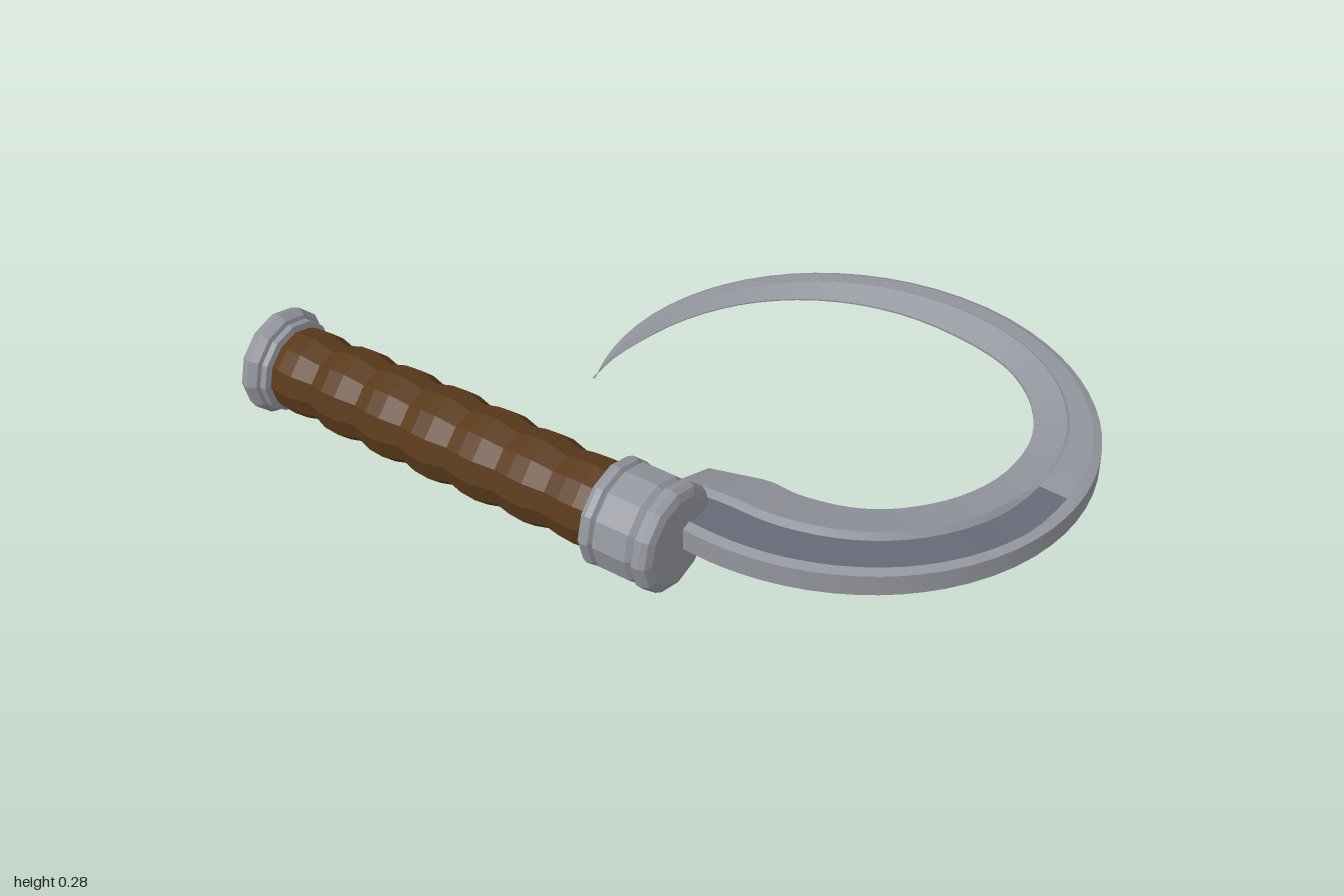
import * as THREE from 'three';
import { toCreasedNormals } from 'three/addons/utils/BufferGeometryUtils.js';

const steel = new THREE.MeshStandardMaterial({ color: 0x92959c });
steel.name = 'steel';
const darkSteel = new THREE.MeshStandardMaterial({ color: 0x666876 });
darkSteel.name = 'dark steel';
const leather = new THREE.MeshStandardMaterial({ color: 0x5a3a1b });
leather.name = 'leather';

const AXIS_Y = 0.143, AXIS_Z = 0.52;

// Faceted turned part along the handle axis; profile is [x, radius] pairs
function turned(name, profile, material) {
  const points = profile.map(([x, r]) => new THREE.Vector2(r, x));
  const geometry = new THREE.LatheGeometry(points, 12).rotateZ(-Math.PI / 2).toNonIndexed();
  geometry.computeVertexNormals();
  const mesh = new THREE.Mesh(geometry, material);
  mesh.name = name;
  mesh.position.set(0, AXIS_Y, AXIS_Z);
  return mesh;
}

// Leather grip: seven swellings, slightly fuller in the middle
function gripProfile() {
  const profile = [[-0.9, 0.1]];
  for (let i = 0; i < 7; i++) {
    const x = -0.835 + i * 0.145;
    const r = 0.121 - 0.0008 * (i - 3) ** 2;
    profile.push([x - 0.03, r - 0.004], [x + 0.015, r - 0.001]);
    if (i < 6) profile.push([x + 0.072, r - 0.015]);
  }
  profile.push([0.1, 0.1]);
  return profile;
}

// Inner edge of the hook: x, angle of the matching outer point, z
const INNER = [
  [0.195, 105, 0.27], [0.27, 100, 0.248], [0.345, 92, 0.228], [0.43, 77, 0.23],
  [0.55, 57, 0.2], [0.65, 38, 0.135], [0.74, 15, 0.02], [0.785, -6, -0.12],
  [0.77, -28, -0.28], [0.68, -49, -0.42], [0.53, -70, -0.51], [0.29, -97, -0.54],
  [0.08, -121, -0.49], [-0.09, -144, -0.37], [-0.2, -166, -0.2],
  [-0.25, -188, 0], [-0.25, -201, 0.14],
];

// Half of the blade section at one station: [fraction inward, half height]
function halfSection(k, depth) {
  const floor = 0.04 - 0.015 * depth;
  return [
    [0, 0.03 * k], [0.09, 0.037 * k], [0.13, floor * k],
    [0.47, (floor + 0.003) * k], [0.51, 0.047 * k], [1, 0.004 * k],
  ];
}

function makeBlade() {
  const curve = new THREE.CatmullRomCurve3(
    INNER.map(p => new THREE.Vector3(...p)), false, 'catmullrom', 0.5);
  const steps = 64, half = 6;
  const rings = [], depths = [];
  for (let i = 0; i <= steps; i++) {
    const p = curve.getPoint(i / steps);
    const a = THREE.MathUtils.degToRad(p.y);
    const outer = [0.355 + 0.64 * Math.cos(a), -0.075 + 0.59 * Math.sin(a)];
    if (i === 0) outer[0] = 0.195;
    const turn = (105 - p.y) / 306;
    const k = turn < 0.6 ? 1 - 0.4 * turn : 0.76 * Math.pow(Math.max(0, (1 - turn) / 0.4), 0.7);
    const depth = THREE.MathUtils.smoothstep(p.y, -4, 16);
    depths.push(depth);
    const section = halfSection(k, depth).map(([f, h]) => [
      outer[0] + (p.x - outer[0]) * f, h, outer[1] + (p.z - outer[1]) * f]);
    const top = section.map(([x, h, z]) => [x, AXIS_Y + h, z]);
    const bottom = section.map(([x, h, z]) => [x, AXIS_Y - h, z]).reverse();
    rings.push([...top, ...bottom]);
  }

  // Skin between stations; the fuller floor goes to its own mesh
  const body = [], fuller = [];
  const quad = (list, a, b, c, d) => list.push(...a, ...b, ...c, ...b, ...d, ...c);
  const n = half * 2;
  for (let i = 0; i < steps; i++) {
    for (let j = 0; j < n; j++) {
      const m = (j + 1) % n;
      const isFloor = (j === 2 || j === n - 4) && depths[i] > 0.1;
      quad(isFloor ? fuller : body, rings[i][j], rings[i + 1][j], rings[i][m], rings[i + 1][m]);
    }
  }
  // Blunt end beside the collar
  const r = rings[0];
  for (let j = 0; j < half - 1; j++) quad(body, r[j], r[j + 1], r[n - 1 - j], r[n - 2 - j]);

  const blade = new THREE.Group();
  blade.name = 'blade';
  for (const [name, list, material] of [['bladeBody', body, steel], ['bladeFuller', fuller, darkSteel]]) {
    const geometry = new THREE.BufferGeometry();
    geometry.setAttribute('position', new THREE.Float32BufferAttribute(list, 3));
    geometry.computeVertexNormals();
    const mesh = new THREE.Mesh(toCreasedNormals(geometry, 0.2), material);
    mesh.name = name;
    blade.add(mesh);
  }
  return blade;
}

export function createModel() {
  const model = new THREE.Group();
  model.name = 'hookedSickle';

  // Rounded end cap with a thin ring against the grip
  model.add(turned('pommel', [
    [-1, 0], [-0.995, 0.06], [-0.98, 0.105], [-0.96, 0.132], [-0.935, 0.14],
    [-0.915, 0.128], [-0.91, 0.11], [-0.907, 0.122], [-0.892, 0.12], [-0.888, 0.1], [-0.888, 0],
  ], steel));

  model.add(turned('grip', gripProfile(), leather));

  // Collar with a raised band at both ends
  model.add(turned('collar', [
    [0.085, 0], [0.085, 0.115], [0.092, 0.134], [0.105, 0.14], [0.12, 0.136], [0.126, 0.125],
    [0.135, 0.136], [0.225, 0.136], [0.238, 0.125], [0.246, 0.138], [0.265, 0.14],
    [0.28, 0.132], [0.288, 0.112], [0.29, 0],
  ], steel));

  model.add(makeBlade());
  return model;
}
